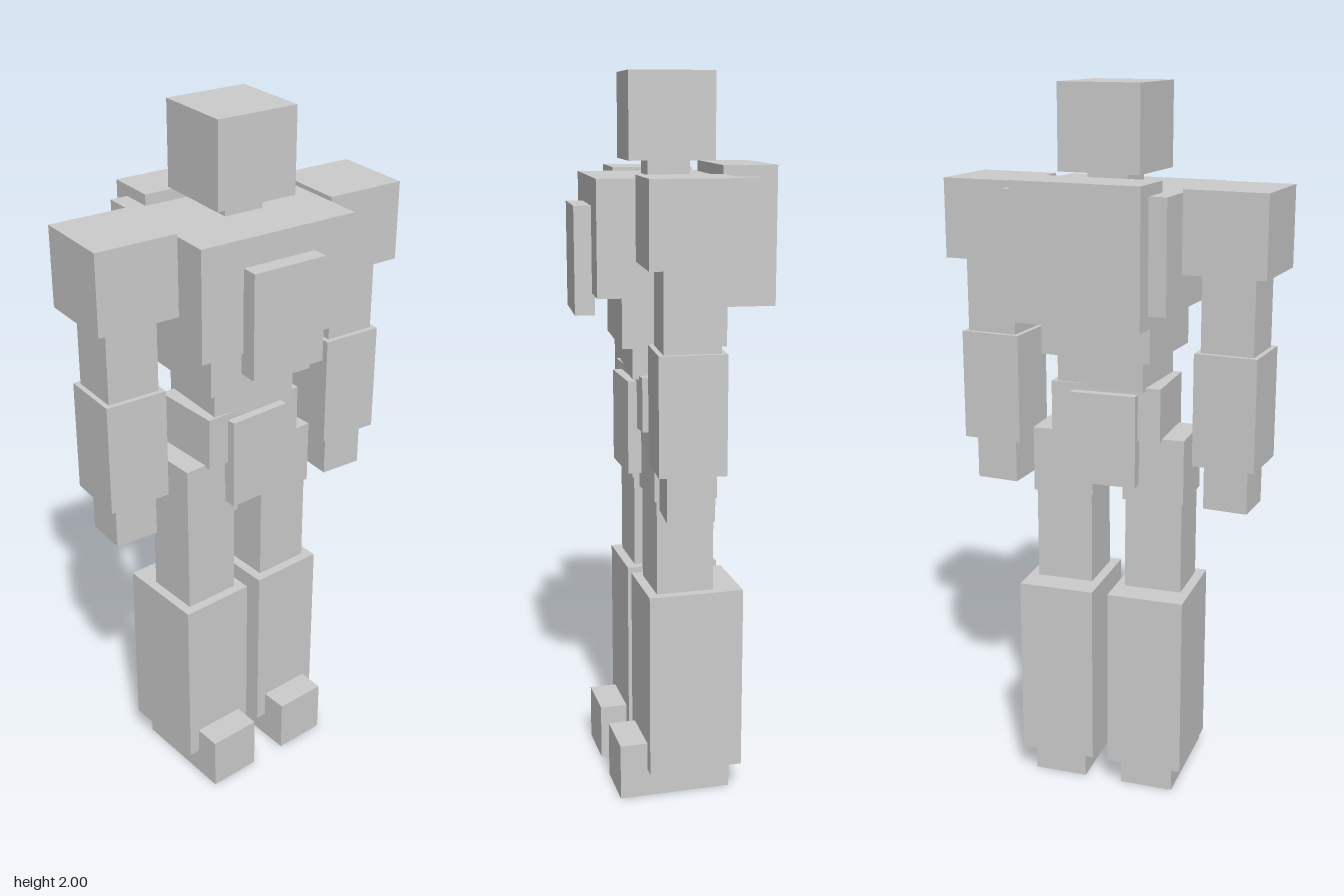
import * as THREE from 'three';

const material = new THREE.MeshStandardMaterial({ color: 0xcccccc, flatShading: true });

// Box given by its [min, max] range on each axis
function block(parent, name, [x0, x1], [y0, y1], [z0, z1]) {
  const mesh = new THREE.Mesh(new THREE.BoxGeometry(x1 - x0, y1 - y0, z1 - z0), material);
  mesh.position.set((x0 + x1) / 2, (y0 + y1) / 2, (z0 + z1) / 2);
  mesh.name = name;
  parent.add(mesh);
}

// Box centred on x and z
function centred(parent, name, width, yRange, depth, x = 0, z = 0) {
  block(parent, name, [x - width / 2, x + width / 2], yRange, [z - depth / 2, z + depth / 2]);
}

export function createModel() {
  const model = new THREE.Group();
  model.name = 'blockRobot';

  // Lower body, with the toes pointing along +x
  const lower = new THREE.Group();
  lower.name = 'lowerBody';
  lower.position.z = 0.002;
  model.add(lower);
  block(lower, 'pelvis', [-0.1, 0.11], [1.05, 1.2], [-0.157, 0.157]);
  block(lower, 'frontHipPlate', [0.098, 0.135], [0.92, 1.18], [-0.093, 0.093]);
  block(lower, 'backHipPlate', [-0.125, -0.088], [0.92, 1.18], [-0.093, 0.093]);

  for (const [side, s] of [['left', 1], ['right', -1]]) {
    const leg = new THREE.Group();
    leg.name = side + 'Leg';
    leg.position.z = s * 0.132;
    lower.add(leg);
    block(leg, 'foot', [-0.128, 0.19], [0, 0.16], [-0.077, 0.077]);
    block(leg, 'shin', [-0.155, 0.112], [0.08, 0.605], [-0.109, 0.109]);
    block(leg, 'thigh', [-0.075, 0.085], [0.6, 0.9], [-0.082, 0.082]);
    block(leg, 'hipPad', [-0.083, 0.092], [0.87, 1.055], [-0.088, 0.088]);
  }

  // Upper body, turned slightly at the waist
  const upper = new THREE.Group();
  upper.name = 'upperBody';
  upper.position.set(0.006, 0, -0.002);
  upper.rotation.y = -0.094;
  model.add(upper);
  centred(upper, 'waist', 0.22, [1.19, 1.3], 0.255);
  centred(upper, 'lowerChest', 0.285, [1.28, 1.43], 0.32);
  centred(upper, 'chest', 0.431, [1.425, 1.73], 0.466);
  centred(upper, 'neck', 0.115, [1.72, 1.78], 0.115);
  centred(upper, 'head', 0.232, [1.77, 2], 0.235);
  block(upper, 'chestPlate', [0.208, 0.262], [1.365, 1.655], [-0.109, 0.109]);
  block(upper, 'backpack', [-0.269, -0.123], [1.39, 1.76], [-0.183, 0.183]);

  for (const [side, s] of [['left', 1], ['right', -1]]) {
    const arm = new THREE.Group();
    arm.name = side + 'Arm';
    arm.position.z = s * 0.351;
    upper.add(arm);
    centred(arm, 'shoulder', 0.23, [1.52, 1.74], 0.23);
    centred(arm, 'upperArm', 0.148, [1.29, 1.53], 0.148);
    centred(arm, 'forearm', 0.176, [0.995, 1.308], 0.176);
    centred(arm, 'hand', 0.125, [0.868, 1.0], 0.125);
  }

  return model;
}
